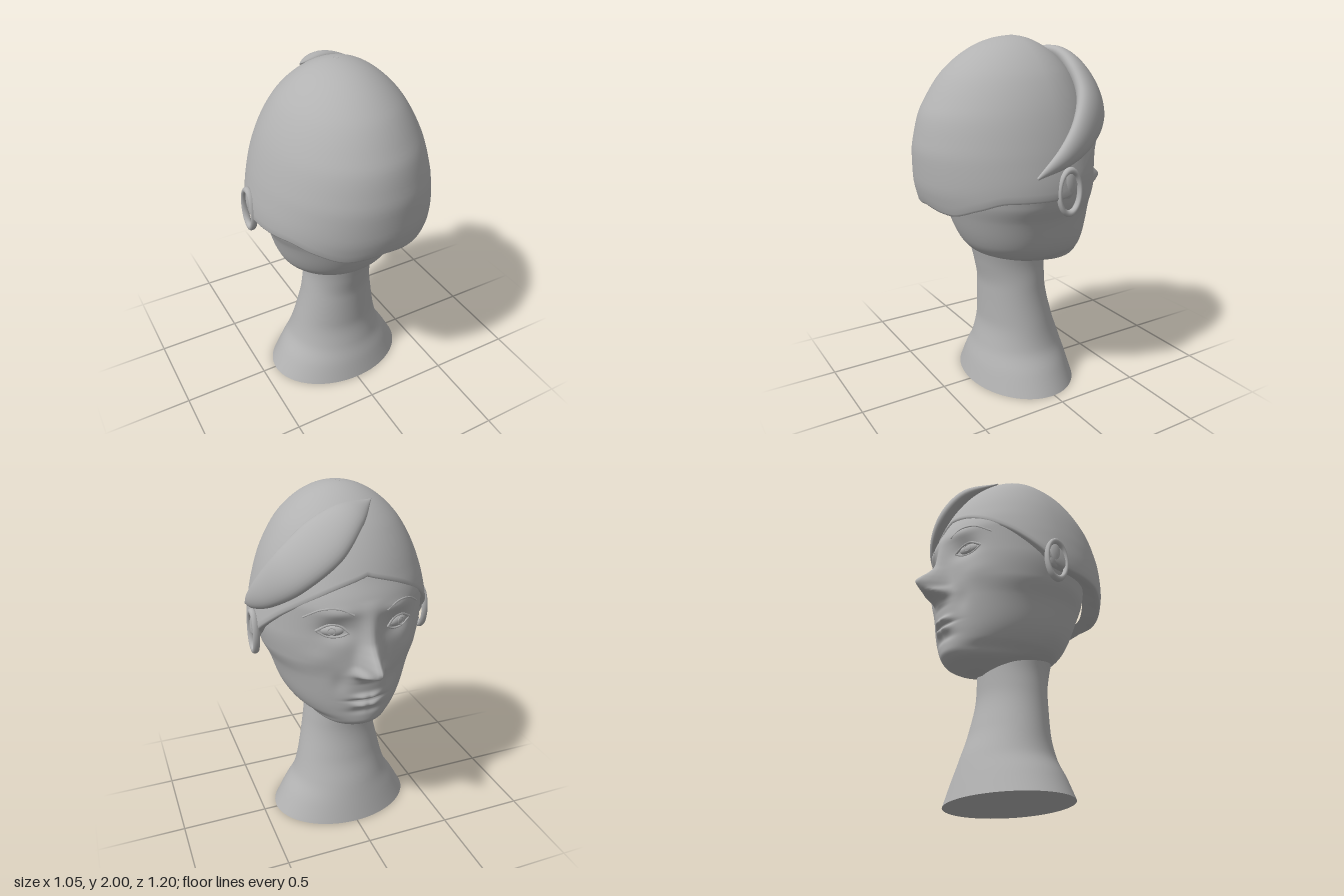
import * as THREE from 'three';

const grey = new THREE.MeshStandardMaterial({ color: 0xb2b2b2 });
grey.name = 'plain grey';

// Smooth monotone curve through [key, value] pairs
function curve(pts) {
  const n = pts.length;
  const slope = pts.slice(1).map((p, i) => (p[1] - pts[i][1]) / (p[0] - pts[i][0]));
  const tan = pts.map((_, i) => {
    if (i === 0) return slope[0];
    if (i === n - 1) return slope[n - 2];
    const a = slope[i - 1], b = slope[i];
    return a * b <= 0 ? 0 : (2 * a * b) / (a + b);
  });
  return (k) => {
    k = Math.min(Math.max(k, pts[0][0]), pts[n - 1][0]);
    let i = 0;
    while (i < n - 2 && k > pts[i + 1][0]) i++;
    const h = pts[i + 1][0] - pts[i][0], t = (k - pts[i][0]) / h, u = 1 - t;
    return (1 + 2 * t) * u * u * pts[i][1] + t * u * u * h * tan[i]
      + t * t * (3 - 2 * t) * pts[i + 1][1] - t * t * u * h * tan[i + 1];
  };
}

// One curve per column: rows are [key, a, b, c...]
const columns = (rows) => rows[0].slice(1).map((_, c) => curve(rows.map((r) => [r[0], r[c + 1]])));

// Skin a list of closed rings
function loft(rings) {
  const n = rings[0].length, index = [];
  for (let i = 0; i < rings.length - 1; i++) {
    for (let j = 0; j < n; j++) {
      const k = (j + 1) % n, a = i * n + j, b = i * n + k, c = a + n, d = b + n;
      index.push(a, c, b, b, c, d);
    }
  }
  const g = new THREE.BufferGeometry();
  g.setAttribute('position', new THREE.Float32BufferAttribute(rings.flat(2), 3));
  g.setIndex(index);
  g.computeVertexNormals();
  return g;
}

const ring = (n, fn) => Array.from({ length: n }, (_, j) => fn((j / n) * Math.PI * 2));
const rowsOf = (n, fn) => Array.from({ length: n + 1 }, (_, i) => fn(i / n));

// Head sections: y, half width, back z, front z, centre z
const [headW, headB, headF, headC] = columns([
  [0.69, 0, -0.165, -0.17, -0.168], [0.705, 0.08, -0.12, -0.26, -0.19],
  [0.74, 0.19, -0.02, -0.37, -0.15], [0.78, 0.25, 0.19, -0.405, -0.03],
  [0.82, 0.30, 0.28, -0.41, 0], [0.89, 0.345, 0.335, -0.42, 0.03],
  [1.05, 0.40, 0.40, -0.435, 0.05], [1.15, 0.445, 0.43, -0.435, 0.05],
  [1.30, 0.47, 0.45, -0.44, 0.05], [1.45, 0.47, 0.45, -0.445, 0.05],
  [1.60, 0.42, 0.42, -0.39, 0.05], [1.75, 0.34, 0.35, -0.31, 0.04],
  [1.90, 0.18, 0.20, -0.14, 0.03], [1.96, 0, 0.03, 0.03, 0.03],
]);
// Nose: y, protrusion, half width
const [noseOut, noseWide] = columns([
  [1.03, 0, 0.07], [1.07, 0.03, 0.07], [1.11, 0.13, 0.055], [1.15, 0.168, 0.045],
  [1.19, 0.135, 0.045], [1.23, 0.09, 0.045], [1.28, 0.05, 0.045], [1.36, 0.028, 0.045], [1.5, 0, 0.06],
]);
// Soft bumps on the face: x, y, x spread, y spread, height
const bumps = [
  [0.18, 1.34, 0.08, 0.055, -0.035], [0.17, 1.44, 0.1, 0.03, 0.012],
  [0.26, 1.18, 0.08, 0.06, 0.015], [0.055, 1.1, 0.025, 0.025, 0.03],
  [0.15, 1.03, 0.04, 0.06, -0.012], [0.025, 0.95, 0.05, 0.016, 0.022],
  [0.03, 0.895, 0.045, 0.016, 0.019], [0.04, 0.922, 0.07, 0.008, -0.012],
  [0.03, 0.85, 0.07, 0.02, -0.01],
];
function faceZ(x, y) {
  const q = x / Math.max(headW(y), 1e-4), c = headC(y), ax = Math.abs(x);
  let out = noseOut(y) * Math.exp(-((x / noseWide(y)) ** 2));
  for (const [bx, by, sx, sy, h] of bumps) {
    out += h * Math.exp(-(((ax - bx) / sx) ** 2) - ((y - by) / sy) ** 2);
  }
  return c - (c - headF(y)) * Math.sqrt(Math.max(0, 1 - q * q)) - out * Math.max(0, 1 - q * q);
}

// Hair sections by s = sqrt(2 - y): half width, back z, front z
const [hairW, hairB, hairF] = columns([
  [0, 0, 0.03, 0.03], [0.224, 0.175, 0.245, -0.13], [0.4, 0.304, 0.402, -0.26],
  [0.447, 0.335, 0.44, -0.292], [0.566, 0.403, 0.52, -0.365], [0.632, 0.435, 0.56, -0.40],
  [0.707, 0.466, 0.585, -0.435], [0.775, 0.49, 0.60, -0.445], [0.866, 0.512, 0.595, -0.45],
  [0.95, 0.515, 0.56, -0.45],
]);
// Hair edge height around the head, from front to back
const hairEdge = curve([[0, 1.62], [0.41, 1.56], [0.9, 1.44], [1.3, 1.3], [1.5, 1.22],
  [1.7, 1.21], [2.1, 1.21], [2.4, 1.17], [2.75, 1.122], [3.1416, 1.145]]);

function hairPoint(a, t, shrink = 1, drop = 0) {
  const s = t * Math.sqrt(2 - hairEdge(a > Math.PI ? 2 * Math.PI - a : a)), c = Math.cos(a);
  const depth = c > 0 ? hairF(s) - 0.03 : hairB(s) - 0.03;
  return [hairW(s) * Math.sin(a) * shrink, 2 - s * s - drop, 0.03 + depth * Math.abs(c) * shrink];
}

export function createModel() {
  const model = new THREE.Group();
  model.name = 'displayHead';
  const add = (name, geometry) => {
    const mesh = new THREE.Mesh(geometry, grey);
    mesh.name = name;
    model.add(mesh);
    return mesh;
  };

  // Flared neck and flat underside
  const [neckW, neckB, neckF] = columns([
    [0, 0.42, 0.325, -0.305], [0.12, 0.355, 0.295, -0.275], [0.23, 0.29, 0.26, -0.245],
    [0.385, 0.25, 0.232, -0.195], [0.6, 0.21, 0.235, -0.157], [0.74, 0.195, 0.26, -0.16],
    [0.86, 0.2, 0.29, -0.14],
  ]);
  const neckRing = (y, k = 1) => ring(96, (a) => {
    const mid = (neckB(y) + neckF(y)) / 2, r = (neckB(y) - neckF(y)) / 2;
    return [neckW(y) * Math.sin(a) * k, y, mid - r * Math.cos(a) * k];
  });
  add('neck', loft(rowsOf(40, (t) => neckRing(t * 0.86))));
  add('underside', loft([neckRing(0, 0), neckRing(0)]));

  // Face and skull in one surface
  add('face', loft(rowsOf(150, (t) => {
    const y = 0.69 + 1.27 * t ** 1.15;
    return ring(176, (a) => {
      const x = headW(y) * Math.sin(a), c = Math.cos(a);
      return [x, y, c > 0 ? faceZ(x, y) : headC(y) - (headB(y) - headC(y)) * c];
    });
  })));

  // Hair cap with a rolled lower edge
  const capRows = rowsOf(48, (t) => ring(128, (a) => hairPoint(a, t)));
  for (const [k, d] of [[0.985, 0.012], [0.95, 0.015], [0.8, -0.005]]) {
    capRows.push(ring(128, (a) => hairPoint(a, 1, k, d)));
  }
  add('hairCap', loft(capRows.reverse()));
  const crown = add('crownDimple', new THREE.TorusGeometry(0.012, 0.004, 8, 24));
  crown.rotation.x = Math.PI / 2;
  crown.position.set(0, 2, 0.03).setY(1.997);

  // Swept fringe: a tapered loft lying over the cap
  const path = new THREE.CatmullRomCurve3([
    [-0.12, 1.93, -0.14], [0.06, 1.88, -0.26], [0.22, 1.76, -0.29], [0.35, 1.64, -0.25],
    [0.44, 1.52, -0.14], [0.485, 1.42, 0], [0.495, 1.325, 0.18],
  ].map((p) => new THREE.Vector3(...p)));
  const [wide, thick] = columns([[0, 0.002, 0.002], [0.167, 0.095, 0.045], [0.333, 0.14, 0.06],
    [0.5, 0.13, 0.06], [0.667, 0.1, 0.05], [0.833, 0.06, 0.038], [1, 0.006, 0.006]]);
  const centre = new THREE.Vector3(0, 1.45, 0.05);
  add('fringe', loft(rowsOf(48, (t) => {
    const p = path.getPoint(t), tangent = path.getTangent(t);
    const side = tangent.clone().cross(p.clone().sub(centre)).normalize();
    const up = side.clone().cross(tangent);
    return ring(32, (a) => p.clone().addScaledVector(side, wide(t) * Math.cos(a))
      .addScaledVector(up, thick(t) * Math.sin(a)).toArray());
  })));

  // Thin line following the face surface
  const faceLine = (name, pts, r) => add(name, new THREE.TubeGeometry(new THREE.CatmullRomCurve3(
    pts.map(([x, y]) => new THREE.Vector3(x, y, faceZ(x, y)))), 28, r, 6));

  for (const s of [1, -1]) {
    // Eye, iris ring, lids and brow
    const turn = -0.42 * s, ez = faceZ(0.185 * s, 1.34);
    const eye = add('eye', new THREE.SphereGeometry(1, 28, 18));
    eye.scale.set(0.062, 0.03, 0.022);
    eye.position.set(0.185 * s, 1.34, ez);
    eye.rotation.y = turn;
    const iris = add('iris', new THREE.TorusGeometry(0.02, 0.003, 6, 24));
    iris.position.set(0.185 * s + Math.sin(-turn) * 0.019, 1.34, ez - Math.cos(turn) * 0.019);
    iris.rotation.y = turn;
    faceLine('upperLid', [[0.105 * s, 1.33], [0.15 * s, 1.368], [0.2 * s, 1.375], [0.265 * s, 1.34]], 0.007);
    faceLine('lowerLid', [[0.105 * s, 1.33], [0.15 * s, 1.308], [0.21 * s, 1.308], [0.265 * s, 1.34]], 0.005);
    faceLine('brow', [[0.09 * s, 1.435], [0.16 * s, 1.468], [0.24 * s, 1.462], [0.32 * s, 1.41]], 0.005);

    // Ear and hoop earring
    const ear = add('ear', new THREE.SphereGeometry(1, 20, 16));
    ear.scale.set(0.03, 0.085, 0.045);
    ear.position.set(0.485 * s, 1.28, -0.015);
    const hoop = add('earring', new THREE.TorusGeometry(1, 0.16, 12, 48));
    hoop.scale.set(0.065, 0.115, 0.12);
    hoop.rotation.y = Math.PI / 2;
    hoop.position.set(0.505 * s, 1.235, -0.012);
  }
  return model;
}
